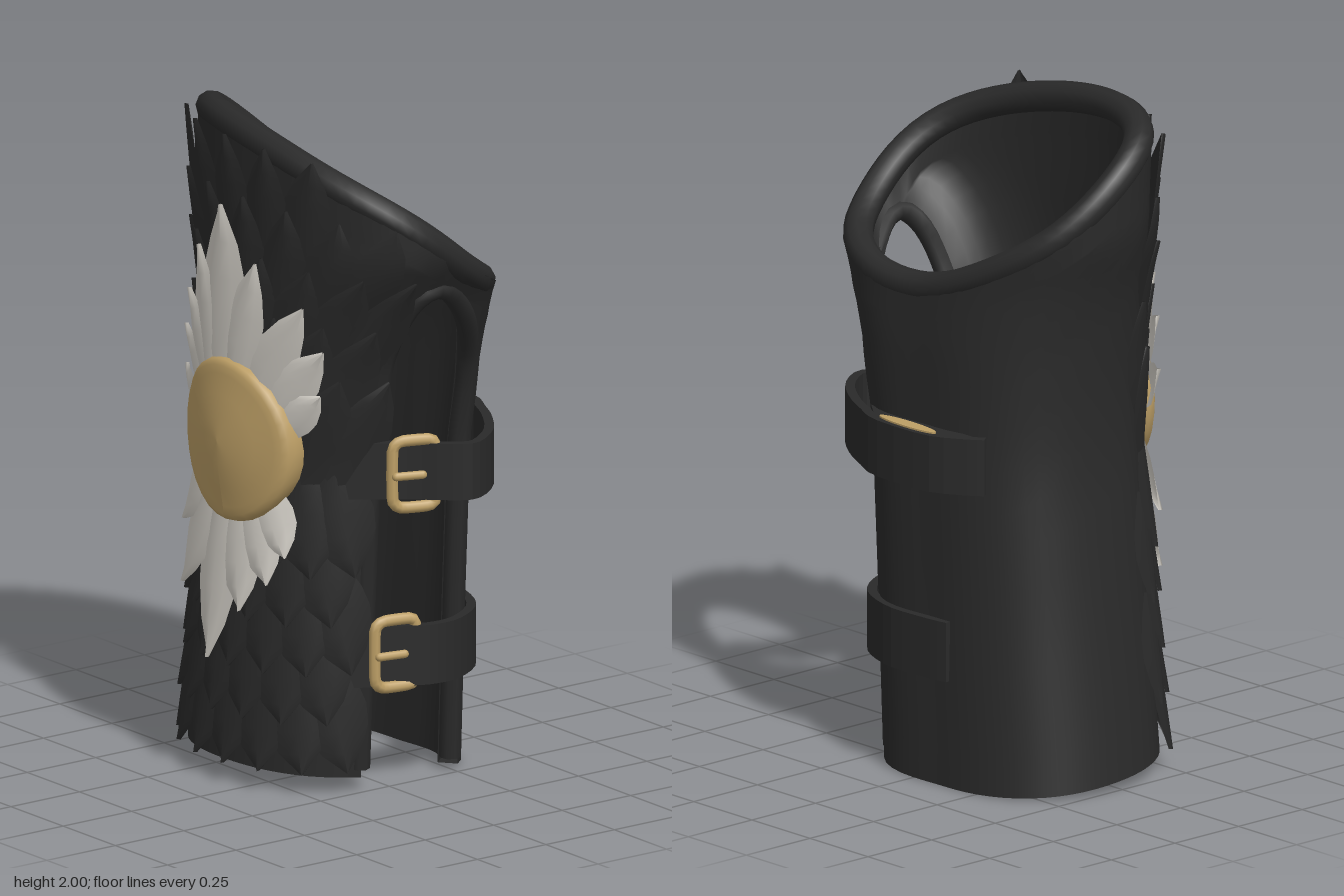
import * as THREE from 'three';
import { mergeGeometries } from 'three/addons/utils/BufferGeometryUtils.js';

const material = (name, color, side = THREE.FrontSide) => {
  const m = new THREE.MeshStandardMaterial({ color, side });
  m.name = name;
  return m;
};

// Cross-sections of the shell: y, left x, right x, front z, back z
const SECTIONS = [
  [0, -0.51, 0.24, 0.33, -0.36], [0.5, -0.45, 0.27, 0.33, -0.35],
  [1.0, -0.40, 0.30, 0.33, -0.345], [1.3, -0.415, 0.36, 0.33, -0.345],
  [1.5, -0.45, 0.44, 0.32, -0.335], [1.65, -0.50, 0.525, 0.31, -0.33],
  [2.0, -0.52, 0.53, 0.30, -0.30],
];

function section(y) {
  let i = 0;
  while (i < SECTIONS.length - 2 && y > SECTIONS[i + 1][0]) i++;
  const a = SECTIONS[i], b = SECTIONS[i + 1];
  const t = (y - a[0]) / (b[0] - a[0]);
  const [, l, r, f, k] = a.map((n, j) => n + (b[j] - n) * t);
  return { cx: (l + r) / 2, rx: (r - l) / 2, cz: (f + k) / 2, rz: (f - k) / 2 };
}

// Point on the shell at an angle (0 = +x, PI/2 = front) and height, pushed out by off.
// The section is slightly squared, most of all at the back left corner.
function surface(angle, y, off = 0) {
  const s = section(y), q = Math.sin(2 * angle);
  const square = q > 0 ? 0.05 : Math.cos(angle) > 0 ? 0.21 : 0.03;
  const k = 1 + square * q * q;
  return new THREE.Vector3(
    s.cx + (s.rx + off) * k * Math.cos(angle), y,
    s.cz + (s.rz + off) * k * Math.sin(angle));
}
const angleAt = (x, y) => {
  const s = section(y);
  return Math.acos(THREE.MathUtils.clamp((x - s.cx) / s.rx, -1, 1));
};

// Slanted top and bottom edges
const topY = (a) => 1.705 + 0.23 * Math.sin(a) - 0.08 * Math.cos(a) + 0.05 * Math.cos(a) ** 2;
const bottomY = (a) => 0.03 + 0.03 * Math.sin(a);
const heightAt = (a, v) => bottomY(a) + v * (topY(a) - bottomY(a));

// Arched side opening
const OPEN = { centre: -0.19, half: 0.49, spring: 0.75, rise: 0.19 };
const openHalf = (v) => v < OPEN.spring ? OPEN.half
  : OPEN.half * Math.sqrt(Math.max(0, 1 - ((v - OPEN.spring) / OPEN.rise) ** 2));

// Smooth sheet from a grid of points
function grid(nu, nv, point) {
  const pos = [], index = [];
  for (let j = 0; j <= nv; j++)
    for (let i = 0; i <= nu; i++) pos.push(...point(i, j).toArray());
  for (let j = 0; j < nv; j++)
    for (let i = 0; i < nu; i++) {
      const a = j * (nu + 1) + i, c = a + nu + 1;
      index.push(a, c, a + 1, a + 1, c, c + 1);
    }
  const g = new THREE.BufferGeometry();
  g.setAttribute('position', new THREE.Float32BufferAttribute(pos, 3));
  g.setIndex(index);
  g.computeVertexNormals();
  return g;
}

function shellGeometry() {
  const rows = [], n = 48;
  for (let i = 0; i < 10; i++) rows.push(OPEN.spring * i / 10);
  for (let i = 0; i <= 7; i++) rows.push(OPEN.spring + OPEN.rise * Math.sin(i / 7 * Math.PI / 2));
  rows.push(0.975, 1);
  const at = (u, v, off) => {
    const w = openHalf(v);
    const a = OPEN.centre + w + u * (2 * Math.PI - 2 * w);
    return surface(a, heightAt(a, v), off);
  };
  return mergeGeometries([
    grid(n, rows.length - 1, (i, j) => at(i / n, rows[j], 0)),
    grid(n, rows.length - 1, (i, j) => at(1 - i / n, rows[j], -0.05)),
    grid(n, 1, (i, j) => at(i / n, 0, j ? 0 : -0.05)),
  ]);
}

// Ridged leaf lying on the shell; heading 0 points up, positive leans to +x
function featherGeometry(angle, y, heading, length, width, low, high) {
  const outline = [0.55, 0.85, 1, 0.93, 0.6, 0.03];
  return grid(4, 5, (i, j) => {
    const t = j / 5, b = (1 - i / 2) * outline[j] * width / 2, a = t * length;
    const dx = a * Math.sin(heading) + b * Math.cos(heading);
    const dy = a * Math.cos(heading) - b * Math.sin(heading);
    const ridge = 0.012 * (1 - Math.abs(i - 2) / 2);
    const py = y + dy, s = section(py);
    const speed = Math.hypot(s.rx * Math.sin(angle), s.rz * Math.cos(angle));
    return surface(angle - dx / speed, py, low + (high - low) * t + ridge);
  });
}

// Upright leather band following [x, z] points
function strapGeometry(path, y, height) {
  const curve = new THREE.SplineCurve(path.map(([x, z]) => new THREE.Vector2(x, -z)));
  const outer = [], inner = [];
  for (let i = 0; i <= 30; i++) {
    const p = curve.getPoint(i / 30), t = curve.getTangent(i / 30);
    const n = new THREE.Vector2(-t.y, t.x).multiplyScalar(0.014);
    outer.push(p.clone().add(n));
    inner.unshift(p.clone().sub(n));
  }
  return new THREE.ExtrudeGeometry(new THREE.Shape([...outer, ...inner]),
    { depth: height, bevelEnabled: false }).rotateX(-Math.PI / 2).translate(0, y - height / 2, 0);
}

function createBuckle(gold) {
  const g = new THREE.Group();
  const corners = [[-0.04, -0.1], [0.045, -0.1], [0.065, -0.08], [0.065, 0.08], [0.045, 0.1],
    [-0.04, 0.1], [-0.065, 0.075], [-0.065, -0.075]].map(([x, y]) => new THREE.Vector3(x, y, 0));
  const frame = new THREE.CatmullRomCurve3(corners, true, 'catmullrom', 0.25);
  const ring = new THREE.Mesh(new THREE.TubeGeometry(frame, 40, 0.018, 8, true), gold);
  ring.name = 'buckleFrame';
  const prong = new THREE.Mesh(new THREE.CapsuleGeometry(0.013, 0.08, 3, 8), gold);
  prong.name = 'bucklePin';
  prong.rotation.z = Math.PI / 2;
  prong.position.set(-0.02, 0, 0.02);
  g.add(ring, prong);
  return g;
}

// Domed disc facing +z, curved round the forearm
function medallionGeometry() {
  const dome = [[0.225, 0.0], [0.235, 0.03], [0.245, 0.068], [0.24, 0.087], [0.224, 0.097],
    [0.2, 0.098], [0.14, 0.108], [0.07, 0.117], [0, 0.121]].map(([r, h]) => new THREE.Vector2(r, h));
  const g = new THREE.LatheGeometry(dome, 32).rotateX(Math.PI / 2);
  const p = g.attributes.position;
  for (let i = 0; i < p.count; i++) p.setZ(i, p.getZ(i) - 0.8 * p.getX(i) ** 2);
  g.computeVertexNormals();
  return g;
}

export function createModel() {
  const model = new THREE.Group();
  const leather = material('black leather', 0x2a2a2a, THREE.DoubleSide);
  const white = material('white feather', 0xd6d2ca, THREE.DoubleSide);
  const gold = material('gold', 0xbd9f66);
  const add = (name, geometry, mat) => {
    const mesh = new THREE.Mesh(geometry, mat);
    mesh.name = name;
    model.add(mesh);
    return mesh;
  };

  // Forearm shell with rolled top rim and piping round the opening
  add('shell', shellGeometry(), leather);
  const rim = [], piping = [];
  for (let i = 0; i < 32; i++) {
    const a = i / 32 * Math.PI * 2;
    rim.push(surface(a, topY(a), -0.038));
  }
  const pipe = (a, v) => piping.push(surface(a, heightAt(a, v), -0.02));
  for (let i = 0; i < 8; i++) pipe(OPEN.centre + OPEN.half, 0.015 + i / 8 * 0.735);
  for (let i = 0; i <= 14; i++) {
    const t = i / 14 * Math.PI;
    pipe(OPEN.centre + OPEN.half * Math.cos(t), OPEN.spring + OPEN.rise * Math.sin(t));
  }
  for (let i = 7; i >= 0; i--) pipe(OPEN.centre - OPEN.half, 0.015 + i / 8 * 0.735);
  add('topRim', new THREE.TubeGeometry(new THREE.CatmullRomCurve3(rim, true), 64, 0.045, 10, true), leather);
  add('openingPiping', new THREE.TubeGeometry(new THREE.CatmullRomCurve3(piping), 90, 0.033, 8), leather);

  // Dark feathers fanning up and down from the middle
  const dark = [];
  for (const up of [1, -1])
    for (let row = 0; row < 5; row++) {
      const y = up > 0 ? 0.92 + row * 0.165 : 0.98 - row * 0.15;
      for (let c = 0; c < 7; c++) {
        const a = 0.62 + (c + (row % 2) * 0.5) * 0.28;
        if (up > 0 && y + 0.28 > topY(a)) continue;
        const lean = (Math.PI / 2 - a) * 0.35;
        const heading = up > 0 ? lean : Math.PI - lean * 0.6;
        dark.push(featherGeometry(a, y, heading, up > 0 ? 0.37 : 0.32, 0.185, 0.002, 0.028));
      }
    }
  add('darkFeathers', mergeGeometries(dark), leather);

  // Pale feathers, topmost first: base x, base y, tip x, tip y, width
  const pale = [
    [-0.08, 1.2, -0.10, 1.75, 0.22], [-0.13, 1.18, -0.19, 1.6, 0.15], [-0.03, 1.18, 0.035, 1.61, 0.16],
    [-0.13, 1.16, -0.25, 1.45, 0.15], [0.04, 1.16, 0.19, 1.51, 0.15], [0.1, 1.14, 0.245, 1.38, 0.14],
    [-0.17, 1.14, -0.28, 1.33, 0.13], [-0.2, 1.06, -0.335, 1.19, 0.12], [0.12, 1.1, 0.24, 1.24, 0.12],
    [-0.06, 0.92, -0.07, 0.375, 0.17], [-0.12, 0.9, -0.23, 0.56, 0.16], [-0.01, 0.9, 0.035, 0.545, 0.16],
    [0.03, 0.92, 0.115, 0.64, 0.15], [0.07, 0.94, 0.16, 0.73, 0.14], [-0.16, 0.95, -0.265, 0.74, 0.14],
  ].map(([x, y, tx, ty, w], i) => featherGeometry(angleAt(x, y), y,
    Math.atan2(tx - x, ty - y), Math.hypot(tx - x, ty - y), w, 0.032 - i * 0.0005, 0.056 - i * 0.0005));
  add('paleFeathers', mergeGeometries(pale), white);

  add('medallion', medallionGeometry(), gold).position.set(-0.025, 1.055, 0.3);

  // Straps and buckles
  add('upperStrap', strapGeometry([[0.25, 0.18], [0.32, 0.09], [0.38, 0.01], [0.46, -0.08], [0.48, -0.14],
    [0.41, -0.24], [0.3, -0.32], [0.2, -0.37], [0.1, -0.41], [-0.1, -0.41], [-0.2, -0.365], [-0.26, -0.32]],
  0.99, 0.17), leather);
  add('lowerStrap', strapGeometry([[0.19, 0.2], [0.26, 0.08], [0.3, 0], [0.34, -0.08], [0.335, -0.18],
    [0.25, -0.3], [0.1, -0.362], [-0.06, -0.362], [-0.14, -0.352]], 0.41, 0.18), leather);
  for (const [name, x, y, tilt] of [['upperBuckle', 0.395, 0.985, 0.35], ['lowerBuckle', 0.305, 0.42, 0.2]]) {
    const buckle = createBuckle(gold);
    buckle.name = name;
    buckle.position.set(x, y, 0.02);
    buckle.rotation.y = Math.PI / 2 - tilt;
    model.add(buckle);
  }

  // Padded keeper behind the upper strap with a gold inlay on top
  const pad = new THREE.Shape([[0.22, 0.33], [0.1, 0.42], [-0.1, 0.42], [-0.22, 0.33]]
    .map(([x, z]) => new THREE.Vector2(x, z)));
  add('backKeeper', new THREE.ExtrudeGeometry(pad, { depth: 0.168, bevelEnabled: false })
    .rotateX(-Math.PI / 2).translate(0, 0.906, 0), leather);
  const inlay = add('keeperInlay', new THREE.CylinderGeometry(0.12, 0.12, 0.008, 20), gold);
  inlay.scale.z = 0.18;
  inlay.position.set(-0.005, 1.076, -0.392);
  return model;
}
